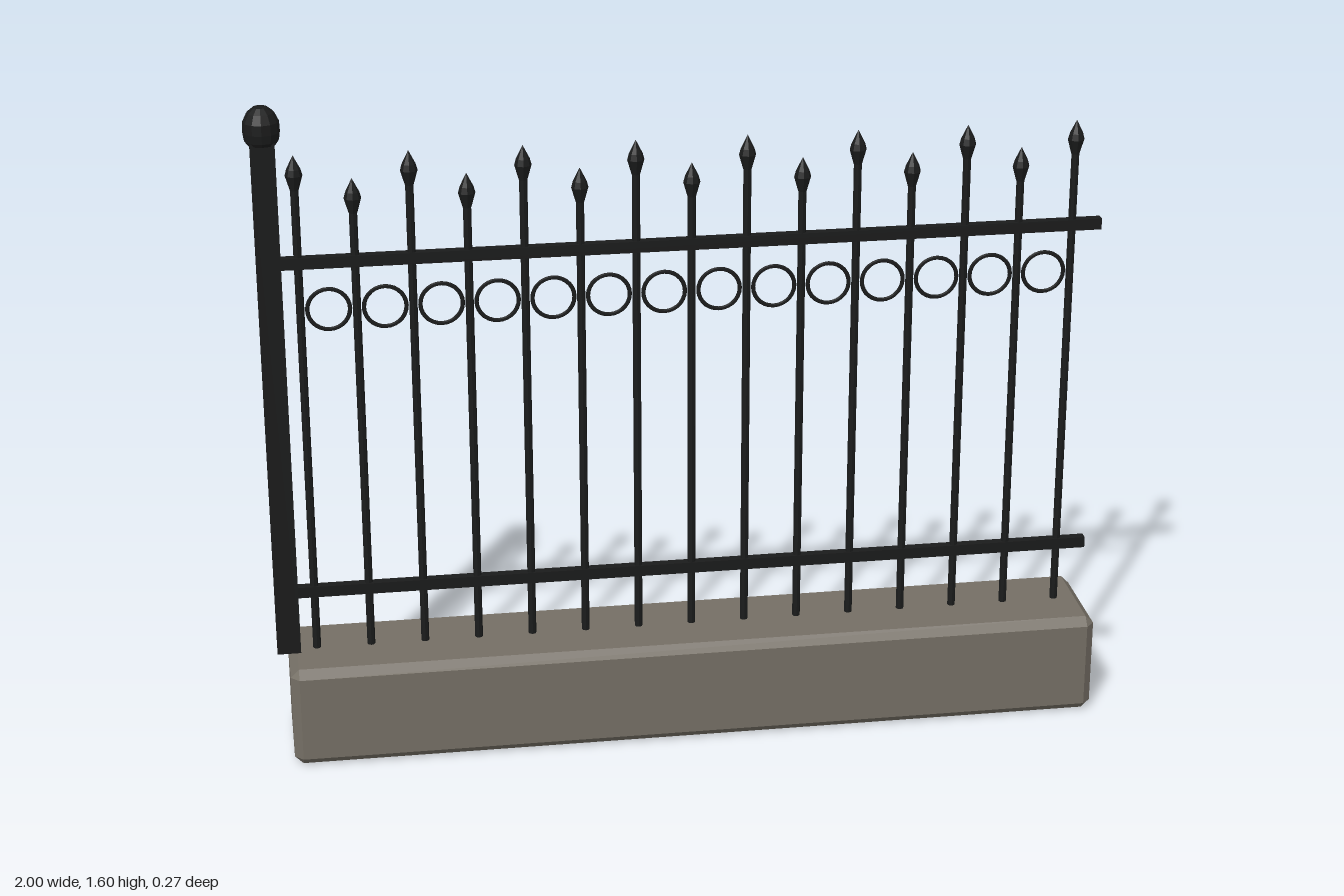
import * as THREE from 'three';
import { ConvexGeometry } from 'three/addons/geometries/ConvexGeometry.js';

const stone = new THREE.MeshStandardMaterial({ color: 0x756f65, flatShading: true });
stone.name = 'stone';
const iron = new THREE.MeshStandardMaterial({ color: 0x1a1b1b, flatShading: true });
iron.name = 'black iron';

function add(parent, name, geometry, material, x = 0, y = 0, z = 0) {
  const mesh = new THREE.Mesh(geometry, material);
  mesh.name = name;
  mesh.position.set(x, y, z);
  parent.add(mesh);
  return mesh;
}

// Box with every edge and corner cut off
function chamferedBox(w, h, d, b) {
  const points = [];
  for (const sx of [-1, 1]) for (const sy of [-1, 1]) for (const sz of [-1, 1]) {
    const [x, y, z] = [w / 2, h / 2, d / 2];
    points.push(
      new THREE.Vector3(sx * x, sy * (y - b), sz * (z - b)),
      new THREE.Vector3(sx * (x - b), sy * y, sz * (z - b)),
      new THREE.Vector3(sx * (x - b), sy * (y - b), sz * z));
  }
  return new ConvexGeometry(points);
}

const lathe = (profile, sides) =>
  new THREE.LatheGeometry(profile.map(([r, y]) => new THREE.Vector2(r, y)), sides);

export function createModel() {
  const model = new THREE.Group();
  model.name = 'ironFence';

  // Stone plinth
  add(model, 'plinth', chamferedBox(1.955, 0.25, 0.27, 0.02), stone, 0.0195, 0.125);

  // Square post with a channel facing the railings
  const s = 0.028, c = 0.012, depth = 0.01;
  const section = new THREE.Shape([
    [-s, -s], [s, -s], [s, -c], [s - depth, -c], [s - depth, c], [s, c], [s, s], [-s, s],
  ].map(([x, y]) => new THREE.Vector2(x, y)));
  const postGeometry = new THREE.ExtrudeGeometry(section, { depth: 1.27, bevelEnabled: false });
  postGeometry.rotateX(-Math.PI / 2);
  add(model, 'post', postGeometry, iron, -0.957, 0.25);

  // Rounded cap on the post
  add(model, 'postCap', lathe([[0, 0], [0.034, 0], [0.039, 0.008], [0.042, 0.028], [0.041, 0.052],
    [0.031, 0.073], [0.016, 0.085], [0, 0.087]], 12), iron, -0.957, 1.513);

  // Two horizontal rails
  const railGeometry = new THREE.BoxGeometry(1.935, 0.027, 0.022);
  for (const [name, y] of [['lowerRail', 0.4], ['upperRail', 1.226]]) {
    add(model, name, railGeometry, iron, 0.028, y);
  }

  // Pickets of alternating height with spear tips, and rings between them
  const first = -0.89, step = 0.1297, count = 15;
  const tipGeometry = lathe([[0, 0], [0.01, 0], [0.02, 0.035], [0.016, 0.05], [0, 0.082]], 8);
  const ringGeometry = new THREE.TorusGeometry(0.049, 0.005, 6, 28);
  for (let i = 0; i < count; i++) {
    const x = first + i * step;
    const top = i % 2 ? 1.342 : 1.402;
    const picket = new THREE.Group();
    picket.name = 'picket';
    model.add(picket);
    add(picket, 'bar', new THREE.CylinderGeometry(0.0095, 0.0095, top - 0.24, 8), iron, x, (top + 0.24) / 2);
    add(picket, 'spearTip', tipGeometry, iron, x, top - 0.002);
    if (i < count - 1) add(model, 'ring', ringGeometry, iron, x + step / 2, 1.11);
  }
  return model;
}
